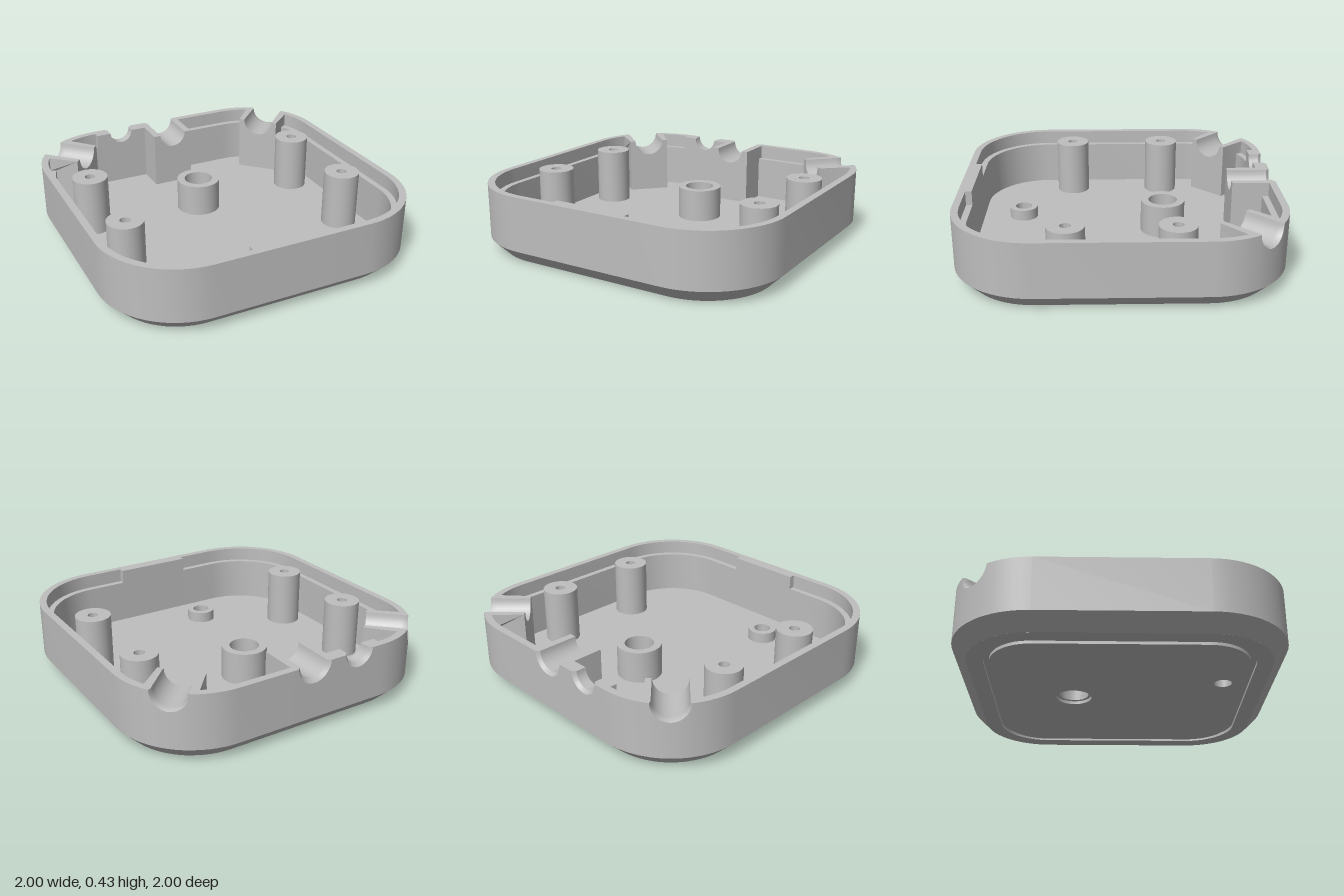
import * as THREE from 'three';
import { toCreasedNormals } from 'three/addons/utils/BufferGeometryUtils.js';

const H = 0.43, FLOOR = 0.055, LEDGE = 0.34, RAD = 0.5, WALL = 0.085, LIP = 0.045;
const CORNER = Math.SQRT1_2; // distance of a corner arc's centre from the middle
const grey = new THREE.MeshStandardMaterial({ color: 0xbebebe });
grey.name = 'plainGrey';

function add(group, name, geometry) {
  const mesh = new THREE.Mesh(toCreasedNormals(geometry, 0.5), grey);
  mesh.name = name;
  group.add(mesh);
  return mesh;
}

// Wall section at an outer point (ox, oz) with outward normal (nx, nz), from the chamfer over the rim to the floor
function section(ox, oz, nx, nz, rabbet) {
  const at = (inset, y) => [ox - nx * inset, y, oz - nz * inset];
  const ledge = rabbet ? LEDGE : H;
  return [at(0.09, 0), at(0, 0.09), at(0, H), at(0.02, H), at(LIP, H), at(LIP, ledge), at(WALL, ledge), at(WALL, FLOOR)];
}

function cornerSection(quarter, angle, rabbet = true) {
  const mid = quarter * Math.PI / 2 + Math.PI / 4;
  const nx = Math.cos(angle), nz = Math.sin(angle);
  const cx = Math.cos(mid) * CORNER, cz = Math.sin(mid) * CORNER;
  return section(cx + nx * RAD, cz + nz * RAD, nx, nz, rabbet);
}

function arc(quarter, from, to, steps) {
  const list = [];
  for (let i = 0; i <= steps; i++) list.push(cornerSection(quarter, quarter * Math.PI / 2 + from + (to - from) * i / steps));
  return list;
}

// Half-round cable port cut through the wall, reaching in to the plane at distance "inner"
function portSections(angle, offset, isCorner, flare, r, inner) {
  const nx = Math.cos(angle), nz = Math.sin(angle);
  const at = (s, l, y) => [nx * s - nz * (l + offset), y, nz * s + nx * (l + offset)];
  const face = (l) => isCorner ? CORNER + Math.sqrt(RAD * RAD - l * l) : 1;
  const list = [];
  for (let i = 0; i <= 14; i++) {
    const a = Math.PI * i / 14;
    const lo = -flare * Math.cos(a), l = -r * Math.cos(a);
    const y = H - r * Math.sin(a);
    const k = isCorner ? 1 - 0.09 / RAD : 1;
    const foot = isCorner ? CORNER + (face(lo) - CORNER) * k : 0.91;
    list.push([
      at(foot, lo * k, 0), at(face(lo), lo, 0.09), at(face(lo), lo, H - flare * Math.sin(a)),
      at(face(l) - 0.02, l, y), at(face(l) - LIP, l, y), at(face(l) - LIP, l, y),
      at(inner, l, y), at(inner, l, FLOOR),
    ]);
  }
  return list;
}

// Pushes the inner edge of a section in to a port block's corner
function withBlock(sec, angle, inner, lateral) {
  const x = Math.cos(angle) * inner - Math.sin(angle) * lateral;
  const z = Math.sin(angle) * inner + Math.cos(angle) * lateral;
  return [...sec.slice(0, 6), [x, H, z], [x, FLOOR, z]];
}

function portCorner(quarter) {
  const mid = quarter * Math.PI / 2 + Math.PI / 4, w = 0.14, inner = 0.933;
  const phi = Math.asin(w / (RAD - WALL));
  return [
    ...arc(quarter, 0, Math.PI / 4 - phi, 5),
    withBlock(cornerSection(quarter, mid - phi, false), mid, inner, -w),
    ...portSections(mid, 0, true, 0.112, 0.104, inner),
    withBlock(cornerSection(quarter, mid + phi, false), mid, inner, w),
    ...arc(quarter, Math.PI / 4 + phi, Math.PI / 2, 5),
  ];
}

function shellGeometry() {
  const front = (x, rabbet) => section(x, 1, 0, 1, rabbet);
  const back = (x, rabbet) => section(x, -1, 0, -1, rabbet);
  const rear = -Math.PI / 2, w = 0.14, inner = 0.72;
  const rings = [
    ...arc(0, 0, Math.PI / 2, 16),
    front(0.25, true), front(0.25, false), front(-0.25, false), front(-0.25, true),
    ...arc(1, 0, Math.PI / 2, 16),
    ...portCorner(2),
    back(-0.5, false),
    ...portSections(rear, -0.32, false, 0.1, 0.08, 1 - WALL),
    back(-w, false), withBlock(back(-w, false), rear, inner, -w),
    ...portSections(rear, 0, false, 0.115, 0.094, inner),
    withBlock(back(w, false), rear, inner, w), back(w, true),
    ...portCorner(3),
  ];
  const pos = [];
  const A = new THREE.Vector3(), B = new THREE.Vector3(), C = new THREE.Vector3();
  const tri = (a, b, c) => {
    A.fromArray(a); B.fromArray(b).sub(A); C.fromArray(c).sub(A);
    if (B.cross(C).length() > 1e-8) pos.push(...a, ...b, ...c); // skip collapsed faces
  };
  rings.forEach((p, i) => {
    const q = rings[(i + 1) % rings.length];
    for (let k = 0; k < p.length - 1; k++) {
      tri(p[k], p[k + 1], q[k + 1]);
      tri(p[k], q[k + 1], q[k]);
    }
  });
  const g = new THREE.BufferGeometry();
  g.setAttribute('position', new THREE.Float32BufferAttribute(pos, 3));
  return g;
}

function roundedSquare(half, Kind = THREE.Shape) {
  const s = new Kind(), r = half - 0.5, q = Math.PI / 2;
  [[1, 1], [-1, 1], [-1, -1], [1, -1]].forEach(([x, z], i) => s.absarc(x * 0.5, z * 0.5, r, i * q, (i + 1) * q, false));
  s.closePath();
  return s;
}

// Flat plate between two heights, with holes
function plate(half, y0, y1, holes) {
  const shape = roundedSquare(half);
  shape.holes.push(...holes);
  const g = new THREE.ExtrudeGeometry(shape, { depth: y1 - y0, bevelEnabled: false, curveSegments: 20 });
  return g.rotateX(Math.PI / 2).translate(0, y1, 0);
}

const round = (x, z, r) => new THREE.Path().absarc(x, z, r, 0, Math.PI * 2, true);

// Hollow round boss standing on the floor
function boss(group, name, x, z, R, r, top, holeBottom, blind) {
  const pts = [[R, FLOOR], [R, top], [r, top], [r, holeBottom]];
  if (blind) pts.push([0, holeBottom]);
  const g = new THREE.LatheGeometry(pts.map((p) => new THREE.Vector2(...p)), 40);
  add(group, name, g).position.set(x, 0, z);
}

export function createModel() {
  const model = new THREE.Group();
  model.name = 'enclosureBase';
  add(model, 'shellWall', shellGeometry());

  // Floor, and underside with a shallow groove
  add(model, 'floor', plate(0.92, 0.02, FLOOR, [round(0, -0.29, 0.093), round(-0.24, 0.645, 0.055)]));
  add(model, 'undersideRim', plate(0.91, 0, 0.02, [roundedSquare(0.81, THREE.Path)]));
  add(model, 'undersidePanel', plate(0.775, 0, 0.02, [round(0, -0.29, 0.113), round(-0.24, 0.645, 0.055)]));

  // Screw posts
  for (const x of [-0.75, 0.75]) for (const z of [-0.325, 0.318]) boss(model, 'screwPost', x, z, 0.113, 0.033, 0.42, 0.2, true);

  // Bosses around the two through holes
  boss(model, 'mainBoss', 0, -0.29, 0.143, 0.093, 0.265, FLOOR, false);
  boss(model, 'smallBoss', -0.24, 0.645, 0.094, 0.055, 0.127, FLOOR, false);
  return model;
}
